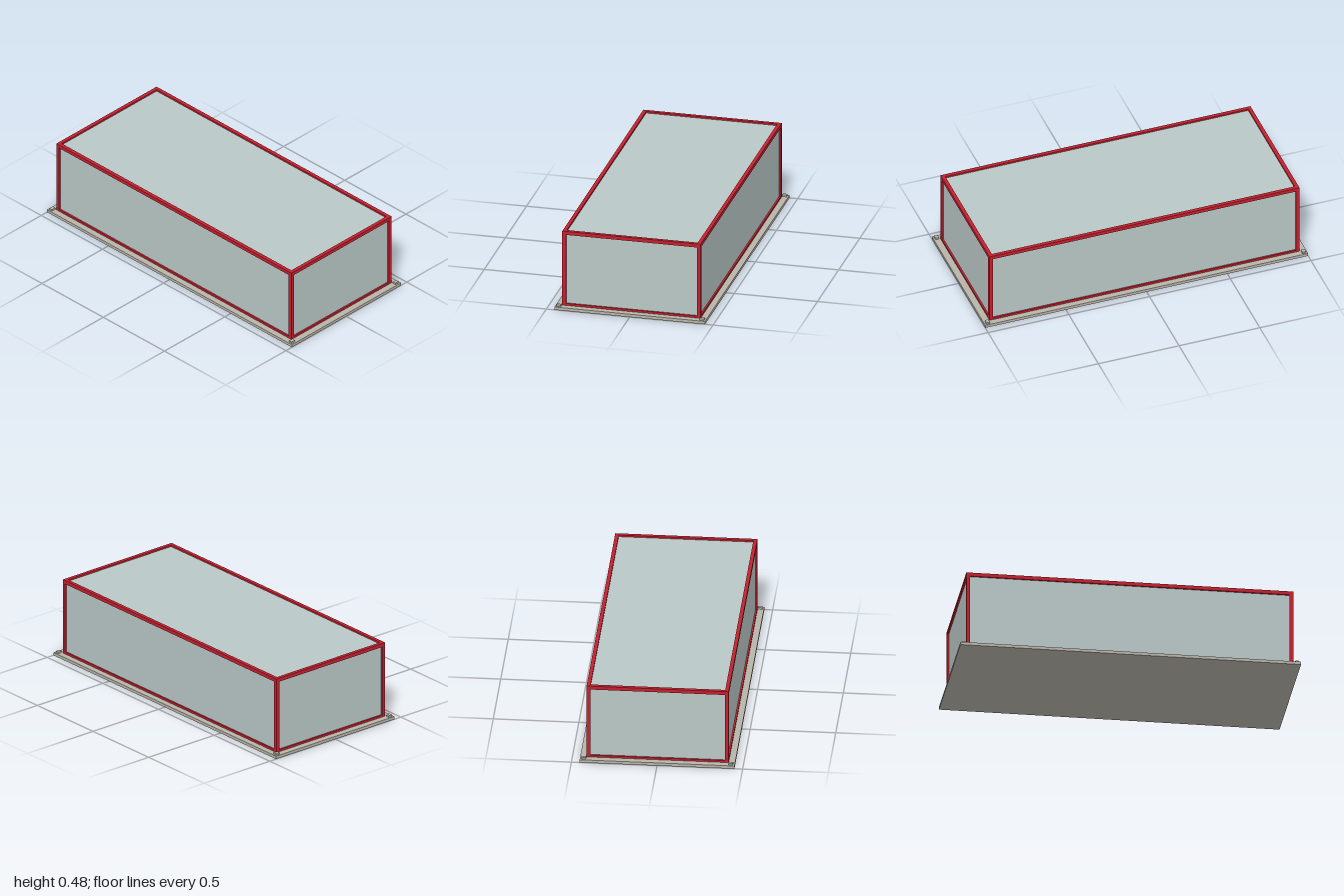
import * as THREE from 'three';

export function createModel() {
  const model = new THREE.Group();
  model.name = 'glazedBox';

  const red = new THREE.MeshStandardMaterial({ name: 'red frame', color: 0xc4202f });
  const glass = new THREE.MeshStandardMaterial({ name: 'pale glass', color: 0xb9c8c6 });
  const stone = new THREE.MeshStandardMaterial({ name: 'warm grey', color: 0xb8b4aa });

  // Box given by its centre, with its underside at y
  const box = (name, material, [w, h, d], [x, y, z], parent = model) => {
    const mesh = new THREE.Mesh(new THREE.BoxGeometry(w, h, d), material);
    mesh.name = name;
    mesh.position.set(x, y + h / 2, z);
    parent.add(mesh);
    return mesh;
  };

  const X = 0.96, Z = 0.415;    // outer half sizes of the frame
  const floor = 0.018, top = 0.483;
  const bar = 0.022, sill = 0.012, recess = 0.01;

  // Base plate
  box('basePlate', stone, [2, floor, 0.904], [0, 0, 0]);

  // Glass body, set back slightly behind the frame
  box('glassPanels', glass, [2 * (X - recess), top - recess - floor, 2 * (Z - recess)], [0, floor, 0]);

  // Frame: posts, top rails and bottom sills
  const frame = new THREE.Group();
  frame.name = 'frame';
  model.add(frame);
  const innerX = 2 * (X - bar), innerZ = 2 * (Z - bar);
  for (const s of [-1, 1]) {
    for (const t of [-1, 1]) {
      box('cornerPost', red, [bar, top - floor, bar], [s * (X - bar / 2), floor, t * (Z - bar / 2)], frame);
      // Small foot pads on the base, outside each corner
      box('footPad', stone, [0.022, 0.01, 0.027], [s * 0.979, floor, t * 0.4295]);
    }
    for (const [name, y, h] of [['topRail', top - bar, bar], ['bottomSill', floor, sill]]) {
      box(name + 'Long', red, [innerX, h, bar], [0, y, s * (Z - bar / 2)], frame);
      box(name + 'Short', red, [bar, h, innerZ], [s * (X - bar / 2), y, 0], frame);
    }
  }
  return model;
}
